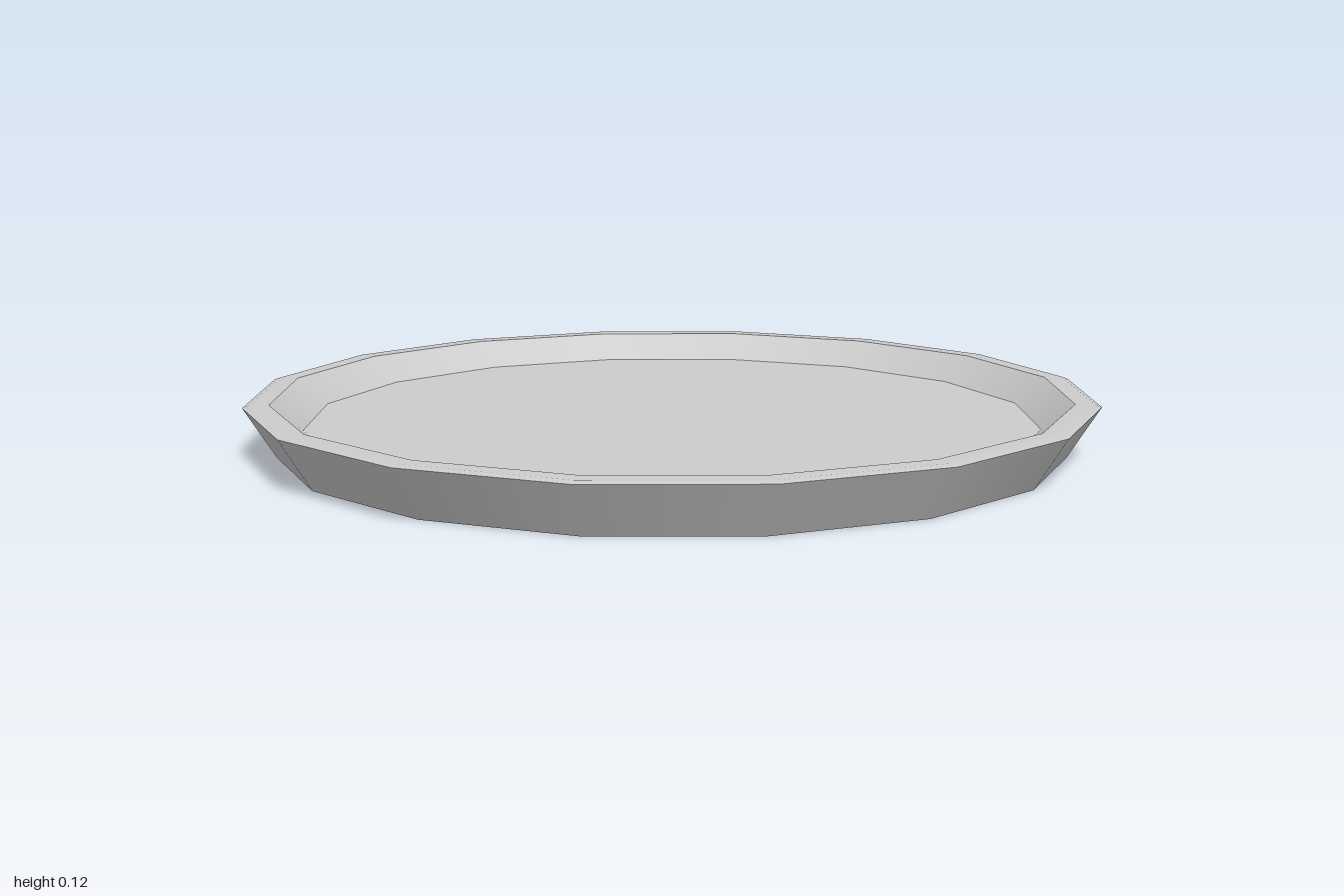
import * as THREE from 'three';

const SIDES = 16;

export function createModel() {
  const group = new THREE.Group();
  group.name = 'plate';
  const material = new THREE.MeshStandardMaterial({ color: 0xcccccc });

  // Each surface is its own lathe: smooth around, crisp between parts.
  // Profiles run from the underside, out and over the rim, to the floor centre.
  const addRing = (name, profile) => {
    const points = profile.map(([r, y]) => new THREE.Vector2(r, y));
    const mesh = new THREE.Mesh(new THREE.LatheGeometry(points, SIDES), material);
    mesh.name = name;
    group.add(mesh);
  };

  addRing('underside', [[0, 0], [0.925, 0]]);
  addRing('outerWall', [[0.925, 0], [1, 0.12]]);
  addRing('rim', [[1, 0.12], [0.985, 0.125], [0.94, 0.125]]);
  addRing('innerWall', [[0.94, 0.125], [0.865, 0.063]]);
  addRing('floor', [[0.865, 0.063], [0, 0.063]]);

  return group;
}
